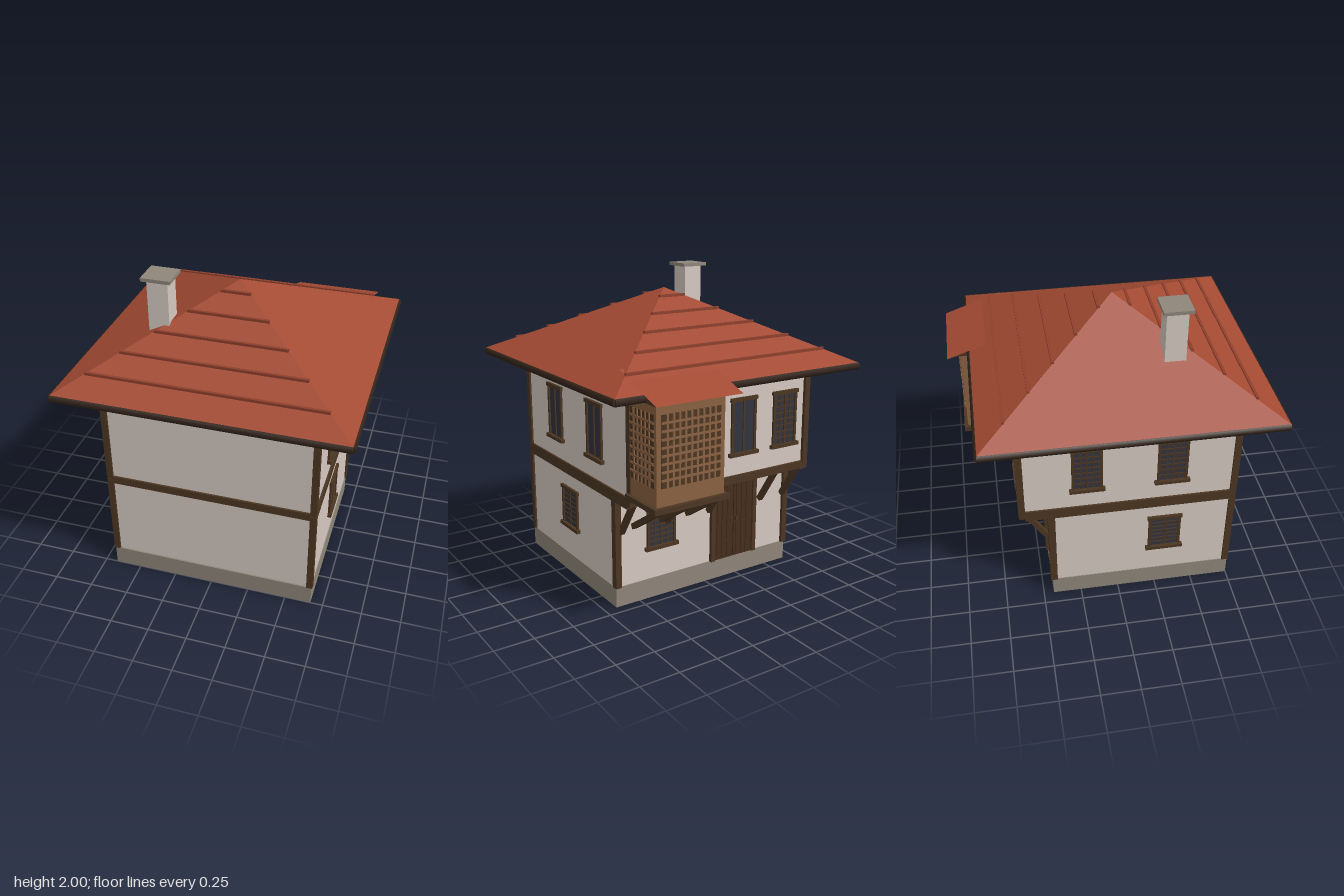
import * as THREE from 'three';

const material = (name, color) => Object.assign(new THREE.MeshStandardMaterial({ color }), { name });
const plaster = material('plaster', 0xd6cac2);
const stone = material('stone', 0x8f867a);
const timber = material('dark timber', 0x4c3622);
const eaveWood = material('eave wood', 0x33241a);
const bayWood = material('bay wood', 0x8a6243);
const doorWood = material('door wood', 0x452f1c);
const glass = material('window glass', 0x32343f);
const roofTile = material('roof tile', 0xa34a33);
const ridgeTile = material('tile course', 0x8f402c);
const bayTile = material('bay roof tile', 0xa34a33);
bayTile.side = THREE.DoubleSide;

const BACK_LOW = -0.43, BACK_UP = -0.61, FRONT = 0.74, SIDE = 0.665;

export function createModel() {
  const house = new THREE.Group();
  house.name = 'house';

  const add = (parent, name, geometry, mat) => {
    const mesh = new THREE.Mesh(geometry, mat);
    mesh.name = name;
    parent.add(mesh);
    return mesh;
  };
  // Box given by its minimum and maximum on each axis
  const box = (name, x0, x1, y0, y1, z0, z1, mat, parent = house) => {
    const mesh = add(parent, name, new THREE.BoxGeometry(x1 - x0, y1 - y0, z1 - z0), mat);
    mesh.position.set((x0 + x1) / 2, (y0 + y1) / 2, (z0 + z1) / 2);
    return mesh;
  };
  // Square bar in the yz plane, from one point to another
  const strut = (name, x, y0, z0, y1, z1, size) => {
    const length = Math.hypot(y1 - y0, z1 - z0);
    const mesh = add(house, name, new THREE.BoxGeometry(size, length, size), timber);
    mesh.position.set(x, (y0 + y1) / 2, (z0 + z1) / 2);
    mesh.rotation.x = Math.atan2(z1 - z0, y1 - y0);
  };
  // Group whose local +z points out of a wall
  const onWall = (name, x, y, z, turn) => {
    const group = new THREE.Group();
    group.name = name;
    group.position.set(x, y, z);
    group.rotation.y = turn;
    house.add(group);
    return group;
  };
  // Evenly spaced bars across a w by h opening
  const lattice = (group, w, h, columns, rows, bar, z0, z1, mat) => {
    for (let i = 1; i < columns; i++) {
      const x = -w / 2 + (w * i) / columns;
      box('latticeUpright', x - bar / 2, x + bar / 2, -h / 2, h / 2, z0, z1, mat, group);
    }
    for (let i = 1; i < rows; i++) {
      const y = -h / 2 + (h * i) / rows;
      box('latticeRail', -w / 2, w / 2, y - bar / 2, y + bar / 2, z0, z1, mat, group);
    }
  };
  const makeWindow = (name, x, y, z, turn, w, h, columns, rows) => {
    const g = onWall(name, x, y, z, turn);
    const a = w / 2, b = h / 2, t = 0.017;
    box('pane', -a, a, -b, b, -0.005, 0.004, glass, g);
    for (const s of [-1, 1]) {
      const c = s * (a - t / 2);
      box('jamb', c - t / 2, c + t / 2, -b, b, 0, 0.014, timber, g);
    }
    box('lintel', -a - 0.008, a + 0.008, b - t, b + 0.006, 0, 0.018, timber, g);
    box('sill', -a - 0.016, a + 0.016, -b - 0.006, -b + t, 0, 0.026, timber, g);
    box('mullion', -0.006, 0.006, -b, b, 0, 0.011, timber, g);
    if (rows) lattice(g, w - 2 * t, h - 2 * t, columns, rows, 0.008, 0, 0.009, timber);
  };

  // Plinth and two storeys, the upper one jutting out at the back
  box('plinth', -0.67, 0.67, 0, 0.13, -0.435, 0.75, stone);
  box('lowerWalls', -SIDE, SIDE, 0.13, 0.72, BACK_LOW, FRONT, plaster);
  box('upperWalls', -SIDE, SIDE, 0.735, 1.41, BACK_UP, FRONT, plaster);

  // Corner posts and floor beams
  for (const s of [-1, 1]) {
    const post = (name, y0, y1, z0, z1) =>
      box(name, s > 0 ? 0.637 : -0.677, s > 0 ? 0.677 : -0.637, y0, y1, z0, z1, timber);
    post('lowerFrontPost', 0.13, 0.72, 0.712, 0.754);
    post('upperFrontPost', 0.74, 1.4, 0.712, 0.754);
    post('lowerBackPost', 0.13, 0.72, -0.45, -0.405);
    post('upperBackPost', 0.74, 1.4, -0.63, -0.588);
    post('sideBeam', 0.697, 0.77, BACK_UP + 0.02, 0.75);
    post('overhangBeam', 0.715, 0.74, -0.62, -0.44);
  }
  box('frontBeam', -0.64, 0.64, 0.69, 0.742, 0.72, 0.753, timber);
  box('backBeam', -0.677, 0.677, 0.72, 0.77, -0.628, -0.59, timber);

  // Braces under the jutting storey, each with a joist
  for (const x of [-0.63, -0.44, -0.02, 0.3, 0.63]) {
    strut('wallBrace', x, 0.49, -0.44, 0.74, -0.6, 0.032);
    box('joist', x - 0.017, x + 0.017, 0.713, 0.737, -0.61, -0.43, timber);
  }

  // Side windows: plain on the left, latticed on the right
  const quarter = Math.PI / 2;
  for (const z of [0.33, -0.2]) {
    makeWindow('upperLeftWindow', SIDE, 1.08, z, quarter, 0.19, 0.36, 0, 0);
    makeWindow('upperRightWindow', -SIDE, 1.08, z, -quarter, 0.19, 0.36, 4, 8);
  }
  makeWindow('lowerLeftWindow', SIDE, 0.465, 0.155, quarter, 0.21, 0.27, 2, 7);
  makeWindow('lowerRightWindow', -SIDE, 0.465, 0.3, -quarter, 0.21, 0.27, 2, 7);

  // Back windows
  makeWindow('backWindow', -0.48, 1.08, BACK_UP, Math.PI, 0.19, 0.36, 4, 8);
  makeWindow('backWindow', -0.15, 1.08, BACK_UP, Math.PI, 0.19, 0.36, 0, 0);
  makeWindow('backWindow', 0.16, 1.08, BACK_UP, Math.PI, 0.19, 0.36, 4, 8);
  makeWindow('lowerBackWindow', 0.34, 0.465, BACK_LOW, Math.PI, 0.21, 0.27, 4, 7);

  // Double door with planks, frame and handles
  const door = onWall('door', -0.22, 0.13, BACK_LOW, Math.PI);
  for (const s of [-1, 1]) {
    const leaf = s * 0.078;
    box('leaf', leaf - 0.075, leaf + 0.075, 0, 0.53, 0, 0.012, doorWood, door);
    for (const d of [-0.04, 0, 0.04])
      box('plank', leaf + d - 0.016, leaf + d + 0.016, 0.01, 0.52, 0.012, 0.017, doorWood, door);
    const jamb = s * 0.168;
    box('doorJamb', jamb - 0.015, jamb + 0.015, 0, 0.55, 0, 0.024, timber, door);
    box('handle', s * 0.018 - 0.006, s * 0.018 + 0.006, 0.25, 0.28, 0.01, 0.026, timber, door);
  }
  box('doorLintel', -0.19, 0.19, 0.53, 0.56, 0, 0.028, timber, door);

  // Bay with latticed outer side and back
  box('bayBody', 0.21, 0.67, 0.8, 1.4, -0.9, BACK_UP, bayWood);
  box('bayFloor', 0.185, 0.695, 0.77, 0.803, -0.925, -0.6, timber);
  box('bayCornice', 0.185, 0.695, 1.388, 1.412, -0.935, -0.62, timber);
  const screen = (name, x, z, turn, w, columns) => {
    const g = onWall(name, x, 1.12, z, turn);
    box('screenPanel', -w / 2, w / 2, -0.21, 0.21, -0.002, 0.003, timber, g);
    lattice(g, w, 0.42, columns, 9, 0.013, 0, 0.009, bayWood);
  };
  screen('baySideScreen', 0.67, -0.755, quarter, 0.245, 6);
  screen('bayBackScreen', 0.44, -0.9, Math.PI, 0.4, 10);
  for (const x of [0.25, 0.44, 0.63]) strut('bayBrace', x, 0.585, -0.59, 0.775, -0.89, 0.034);

  // Lean-to sheet over the bay, running into the main roof
  const rise = 0.135, run = 0.38;
  const sheet = add(house, 'bayRoof', new THREE.PlaneGeometry(0.575, Math.hypot(rise, run)), bayTile);
  sheet.rotation.set(-Math.PI / 2 - Math.atan2(rise, run), 0, Math.PI);
  sheet.rotation.set(-Math.PI / 2 + Math.atan2(rise, -run) - Math.PI, 0, 0);
  sheet.position.set(0.4325, 1.4 + rise / 2, -0.98 + run / 2);

  // Hipped roof with a dark underside
  const midZ = 0.0575, halfX = 0.885, halfZ = 0.895, eave = 1.435, height = 0.445;
  const pyramid = new THREE.ConeGeometry(Math.SQRT2, height, 4).rotateY(Math.PI / 4)
    .scale(halfX, 1, halfZ).toNonIndexed();
  pyramid.computeVertexNormals();
  add(house, 'roof', pyramid, [roofTile, eaveWood]).position.set(0, eave + height / 2, midZ);
  box('soffit', -halfX, halfX, 1.4, 1.432, midZ - halfZ, midZ + halfZ, eaveWood);

  // Eave boards
  for (const s of [-1, 1]) {
    const side = add(house, 'sideEave', new THREE.CylinderGeometry(0.024, 0.024, 2 * halfZ, 6), eaveWood);
    side.rotation.set(quarter, quarter, 0, 'YXZ');
    side.rotation.set(quarter, 0, 0);
    side.geometry.rotateY(quarter);
    side.position.set(s * (halfX - 0.008), 1.415, midZ);
    const end = add(house, 'endEave', new THREE.CylinderGeometry(0.024, 0.024, 2 * halfX, 6), eaveWood);
    end.rotation.z = quarter;
    end.position.set(0, 1.415, midZ + s * (halfZ - 0.008));
  }

  // Raised tile courses on the front and back slopes
  for (let i = 0; i < 5; i++) {
    const t = 0.18 + i * 0.178;
    const w = halfX * (1 - t), y = eave + height * t;
    for (const s of [-1, 1]) {
      const z = midZ + s * halfZ * (1 - t);
      box('tileCourse', -w, w, y - 0.005, y + 0.013, z - 0.008, z + 0.009, ridgeTile);
    }
  }

  // Chimney
  box('chimney', -0.46, -0.33, 1.42, 1.98, 0.295, 0.425, plaster);
  box('chimneyCap', -0.488, -0.305, 1.978, 2, 0.27, 0.45, stone);

  return house;
}
